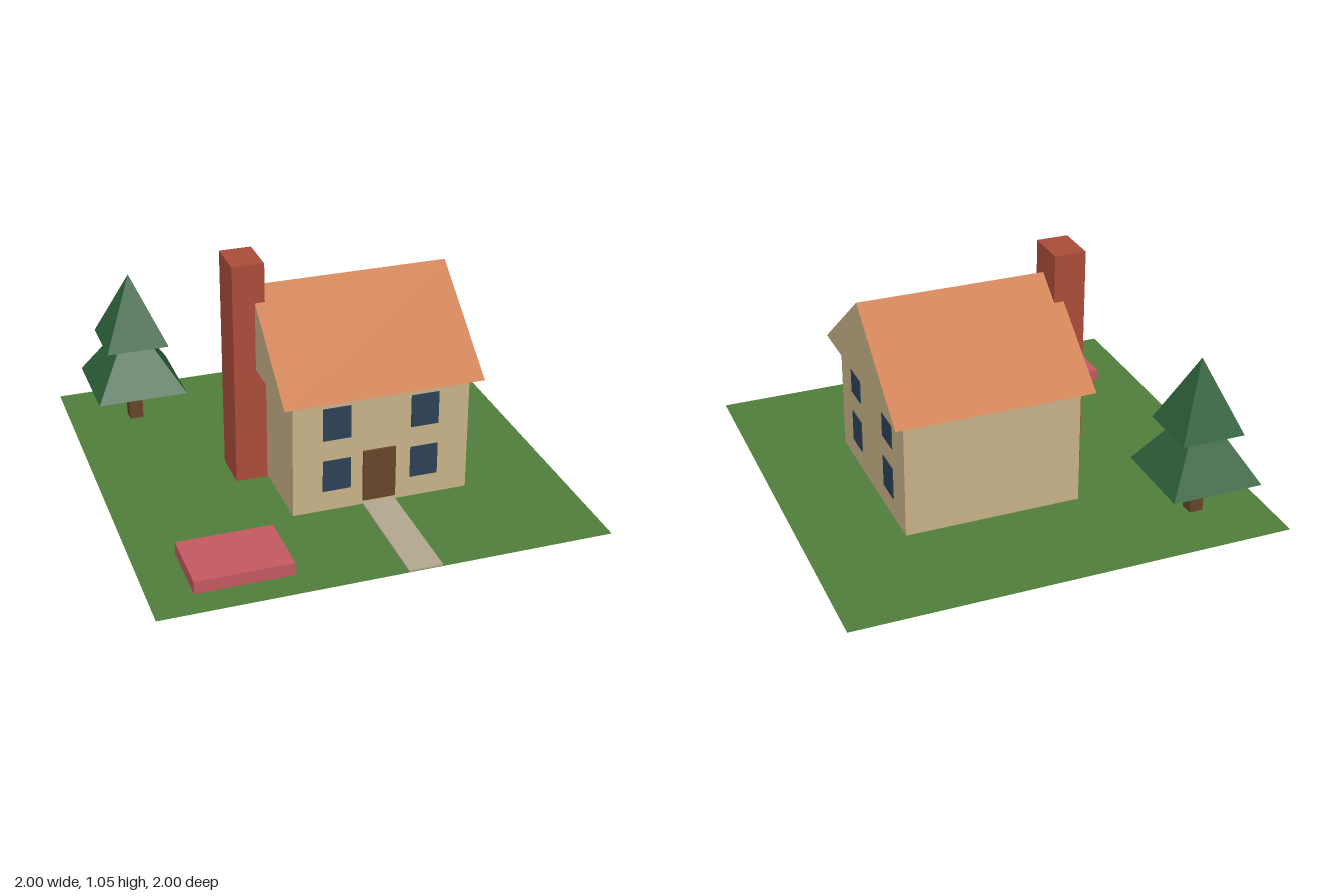
import * as THREE from 'three';

const mat = (name, color, side = THREE.FrontSide) => {
  const m = new THREE.MeshStandardMaterial({ color, side });
  m.name = name;
  return m;
};

export function createModel() {
  const grass = mat('grass', 0x52803b, THREE.DoubleSide);
  const wall = mat('wall', 0xcbb58a, THREE.DoubleSide);
  const roof = mat('roof', 0xc87640, THREE.DoubleSide);
  const brick = mat('brick', 0xad4e3a);
  const wood = mat('wood', 0x68472b);
  const glass = mat('glass', 0x2e4258);
  const stone = mat('stone', 0xb4aa92);
  const flowers = mat('flowers', 0xc65a62);
  const foliage = mat('foliage', 0x2e613a);

  const model = new THREE.Group();
  const add = (parent, name, geometry, material, x = 0, y = 0, z = 0) => {
    const m = new THREE.Mesh(geometry, material);
    m.name = name;
    m.position.set(x, y, z);
    parent.add(m);
    return m;
  };
  const group = (name) => {
    const g = new THREE.Group();
    g.name = name;
    model.add(g);
    return g;
  };
  // Box given by its limits on each axis
  const block = (parent, name, material, [x0, x1], [y0, y1], [z0, z1]) =>
    add(parent, name, new THREE.BoxGeometry(x1 - x0, y1 - y0, z1 - z0), material,
      (x0 + x1) / 2, (y0 + y1) / 2, (z0 + z1) / 2);
  // Flat face from a convex loop of corners
  const face = (parent, name, material, corners) => {
    const g = new THREE.BufferGeometry().setFromPoints(corners.map((c) => new THREE.Vector3(...c)));
    g.setIndex(corners.length === 4 ? [0, 1, 2, 0, 2, 3] : [0, 1, 2]);
    g.computeVertexNormals();
    return add(parent, name, g, material);
  };

  // Garden: lawn, path and flower bed
  const base = 0.002;
  add(model, 'lawn', new THREE.PlaneGeometry(2, 2).rotateX(-Math.PI / 2), grass);
  block(model, 'path', stone, [0.07, 0.22], [base, 0.01], [0.435, 1]);
  block(model, 'flowerBed', flowers, [-0.81, -0.38], [base, 0.06], [0.56, 0.87]);

  // House body
  const house = group('house');
  block(house, 'walls', wall, [-0.25, 0.56], [base, 0.55], [-0.435, 0.435]);
  block(house, 'door', wood, [0.07, 0.22], [0.025, 0.27], [0.435, 0.447]);
  block(house, 'chimney', brick, [-0.4, -0.255], [base, 1.05], [-0.125, 0.072]);

  // Windows on the front and on the left side, two storeys each
  for (const y of [[0.1, 0.25], [0.35, 0.505]]) {
    for (const x of [-0.05, 0.355])
      block(house, 'frontWindow', glass, [x - 0.064, x + 0.064], y, [0.434, 0.439]);
    for (const z of [-0.218, 0.218])
      block(house, 'sideWindow', glass, [0.559, 0.564], y, [z - 0.064, z + 0.064]);
  }

  // Roof: two slopes and two gables, open below the overhang
  const xl = -0.3, xr = 0.61, eave = 0.55, ridge = 0.925, d = 0.485;
  face(house, 'frontSlope', roof, [[xl, eave, d], [xr, eave, d], [xr, ridge, 0], [xl, ridge, 0]]);
  face(house, 'backSlope', roof, [[xr, eave, -d], [xl, eave, -d], [xl, ridge, 0], [xr, ridge, 0]]);
  face(house, 'leftGable', wall, [[xr, eave, d], [xr, eave, -d], [xr, ridge, 0]]);
  face(house, 'rightGable', wall, [[xl, eave, -d], [xl, eave, d], [xl, ridge, 0]]);

  // Tree: square trunk with two pyramid tiers
  const tree = group('tree');
  tree.position.set(-0.69, 0, -0.69);
  block(tree, 'trunk', wood, [-0.032, 0.032], [base, 0.2], [-0.032, 0.032]);
  for (const [half, y0, y1] of [[0.21, 0.19, 0.53], [0.146, 0.415, 0.745]]) {
    const tier = new THREE.ConeGeometry(half * Math.SQRT2, y1 - y0, 4).rotateY(Math.PI / 4).toNonIndexed();
    tier.computeVertexNormals();
    add(tree, 'foliageTier', tier, foliage, 0, (y0 + y1) / 2, 0);
  }

  return model;
}
